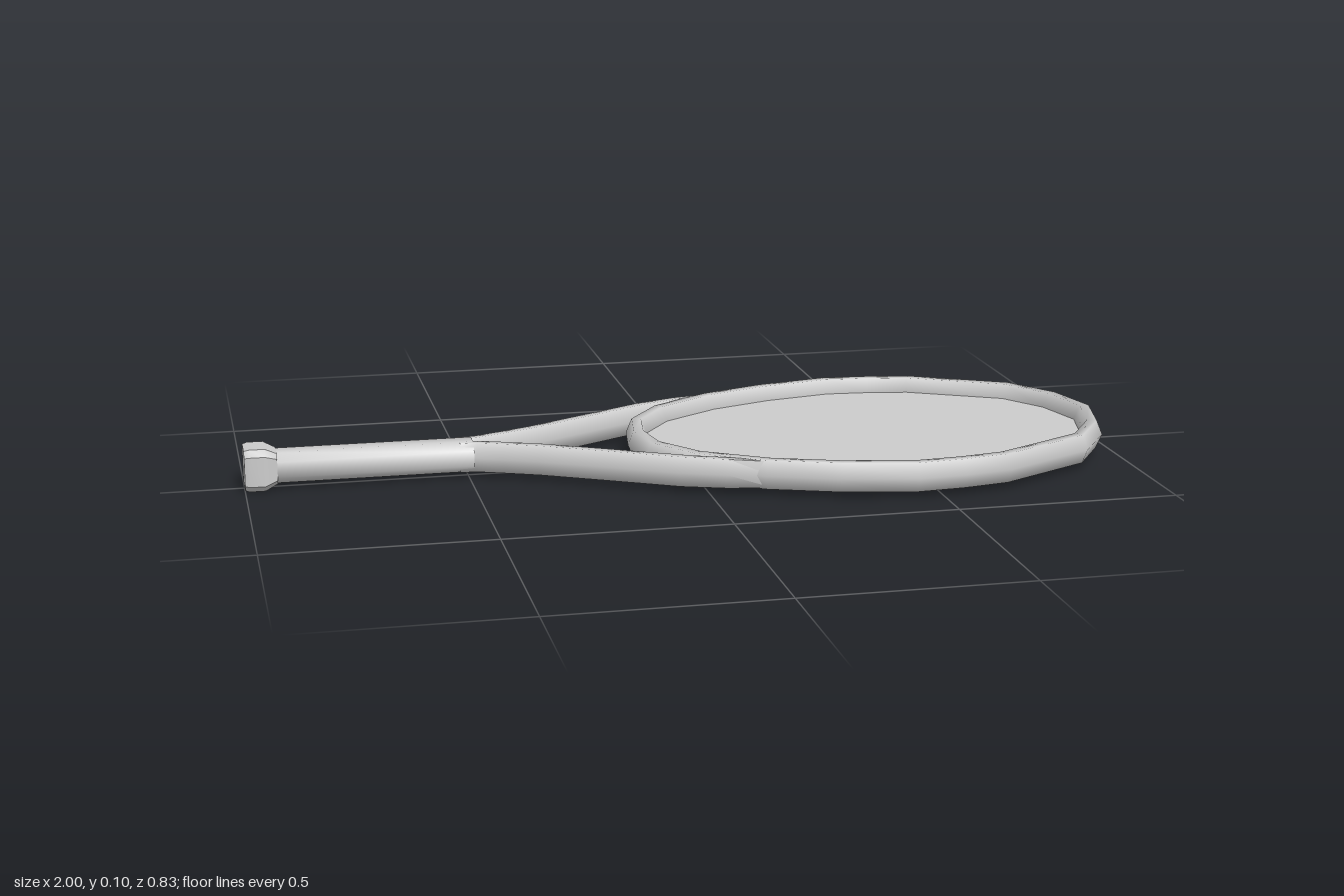
import * as THREE from 'three';
import { toCreasedNormals } from 'three/addons/utils/BufferGeometryUtils.js';

const MID = 0.048; // height of the centre plane

// Sweep a section of [side, up] points along stations [x, z, halfWidth, halfHeight]
function sweep(stations, section, closed = false) {
  const n = stations.length, m = section.length, pos = [], idx = [];
  stations.forEach(([x, z, w, h], s) => {
    const a = stations[closed ? (s + n - 1) % n : Math.max(s - 1, 0)];
    const b = stations[closed ? (s + 1) % n : Math.min(s + 1, n - 1)];
    const d = new THREE.Vector2(b[0] - a[0], b[1] - a[1]).normalize();
    for (const [u, v] of section) pos.push(x + d.y * u * w, MID + v * h, z - d.x * u * w);
  });
  for (let s = 0; s < (closed ? n : n - 1); s++) {
    const p = s * m, q = ((s + 1) % n) * m;
    for (let i = 0; i < m; i++) {
      const j = (i + 1) % m;
      idx.push(p + i, p + j, q + j, p + i, q + j, q + i);
    }
  }
  if (!closed) {
    const e = (n - 1) * m;
    for (let i = 1; i < m - 1; i++) idx.push(0, i + 1, i, e, e + i, e + i + 1);
  }
  const g = new THREE.BufferGeometry();
  g.setAttribute('position', new THREE.Float32BufferAttribute(pos, 3));
  g.setIndex(idx);
  return g;
}

const HEX = [[1, 0], [0.45, 1], [-0.45, 1], [-1, 0], [-0.45, -1], [0.45, -1]];
const octagon = (c) => [[1, c], [c, 1], [-c, 1], [-1, c], [-1, -c], [-c, -1], [c, -1], [1, -c]];

export function createModel() {
  const group = new THREE.Group();
  const material = new THREE.MeshStandardMaterial({ color: 0xcccccc });
  const add = (name, geometry, mat = material) => {
    const mesh = new THREE.Mesh(geometry, mat);
    mesh.name = name;
    group.add(mesh);
    return mesh;
  };

  // Egg-shaped head: half outline from tip to throat, mirrored in z
  const half = [[0.975, 0], [0.942, 0.135], [0.867, 0.247], [0.65, 0.362], [0.545, 0.381], [0.44, 0.389],
    [0.275, 0.355], [0.125, 0.3], [-0.015, 0.21], [-0.09, 0.105], [-0.106, 0]];
  const outline = [...half, ...half.slice(1, -1).reverse().map(([x, z]) => [x, -z])];
  const rim = sweep(outline.map(([x, z]) => [x, z, 0.025, 0.033]), HEX, true);
  rim.computeVertexNormals();
  add('rim', rim);

  // String bed: a thin sheet that ends inside the rim
  const shape = new THREE.Shape(outline.map(([x, z]) => new THREE.Vector2(x, z)));
  const sheet = new THREE.MeshStandardMaterial({ color: 0xcccccc, side: THREE.DoubleSide });
  const strings = add('strings', new THREE.ShapeGeometry(shape).rotateX(-Math.PI / 2), sheet);
  strings.position.y = MID;

  // Throat arms splitting from the handle and merging into the rim
  const arm = [[-0.52, 0.019, 0.019, 0.034], [-0.48, 0.022, 0.019, 0.034], [-0.42, 0.046, 0.02, 0.034],
    [-0.345, 0.078, 0.021, 0.034], [-0.2, 0.157, 0.021, 0.034], [-0.055, 0.237, 0.021, 0.034],
    [0.04, 0.276, 0.019, 0.033], [0.135, 0.306, 0.015, 0.03]];
  for (const side of [1, -1]) {
    const g = sweep(arm.map(([x, z, w, h]) => [x, z * side, w, h]), HEX);
    add(side > 0 ? 'frontThroatArm' : 'backThroatArm', toCreasedNormals(g, 1.3));
  }

  // Grip
  const grip = sweep([[-0.95, 0, 0.04, 0.035], [-0.49, 0, 0.04, 0.035]], octagon(0.5));
  add('grip', toCreasedNormals(grip, 0.9));

  // Flared butt cap
  const butt = sweep([[-1, 0, 0.046, 0.045], [-0.99, 0, 0.05, 0.048], [-0.955, 0, 0.05, 0.048],
    [-0.928, 0, 0.04, 0.035]], octagon(0.7));
  add('buttCap', toCreasedNormals(butt, 0.6));

  return group;
}
